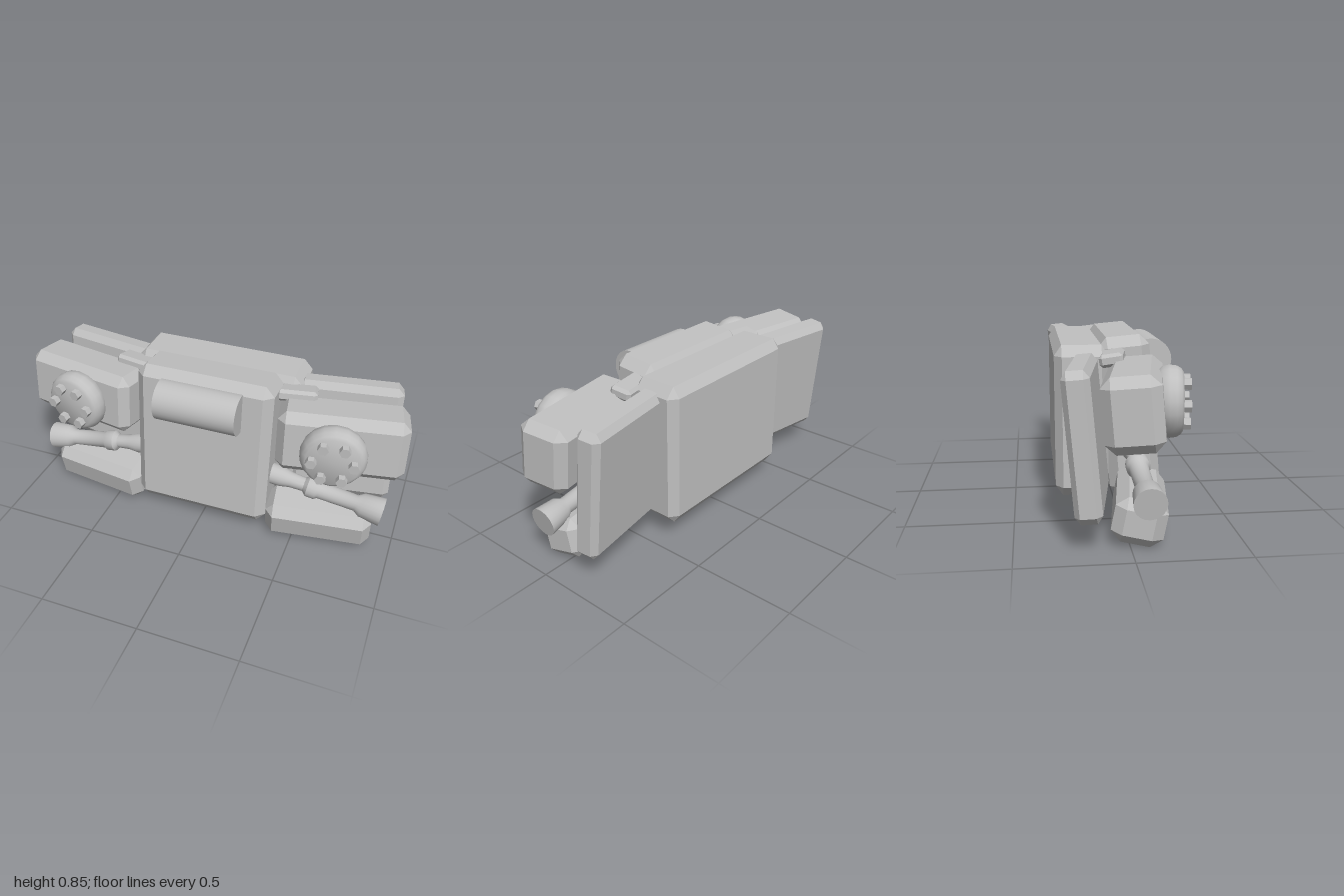
import * as THREE from 'three';
import { toCreasedNormals } from 'three/addons/utils/BufferGeometryUtils.js';
import { ConvexGeometry } from 'three/addons/geometries/ConvexGeometry.js';

const grey = new THREE.MeshStandardMaterial({ color: 0xc0c0c0 });
grey.name = 'plain grey';

// Box with bevelled edges; cx, cy, cz are the bevel widths on each axis
function bevelBox(w, h, d, cx, cy, cz) {
  const pts = [];
  for (const sx of [-1, 1]) for (const sy of [-1, 1]) for (const sz of [-1, 1]) {
    const x = w / 2, y = h / 2, z = d / 2;
    pts.push(
      new THREE.Vector3(sx * x, sy * (y - cy), sz * (z - cz)),
      new THREE.Vector3(sx * (x - cx), sy * y, sz * (z - cz)),
      new THREE.Vector3(sx * (x - cx), sy * (y - cy), sz * z));
  }
  return new ConvexGeometry(pts);
}

function lathe(profile, segments) {
  const g = new THREE.LatheGeometry(profile.map(p => new THREE.Vector2(...p)), segments);
  return toCreasedNormals(g, 0.7);
}

function add(parent, name, geometry, x, y, z, pitch = 0, yaw = 0, roll = 0) {
  const m = new THREE.Mesh(geometry, grey);
  m.name = name;
  m.position.set(x, y, z);
  m.rotation.set(pitch, yaw, roll, 'YXZ');
  parent.add(m);
  return m;
}

export function createModel() {
  const model = new THREE.Group();
  model.name = 'beltPack';

  // Central body
  add(model, 'frontPlate', bevelBox(0.71, 0.79, 0.25, 0.045, 0.05, 0.045), 0, 0.46, 0.065, -0.087);
  add(model, 'backPlate', bevelBox(0.89, 0.725, 0.255, 0.045, 0.05, 0.035), 0, 0.462, -0.173);
  const roller = new THREE.CylinderGeometry(0.103, 0.103, 0.42, 32);
  add(model, 'frontRoller', roller, 0, 0.722, 0.185, 0, 0, Math.PI / 2);

  // Shared shapes of the two sides
  const wing = bevelBox(0.52, 0.65, 0.12, 0.03, 0.035, 0.025);
  const pod = bevelBox(0.62, 0.32, 0.25, 0.04, 0.045, 0.045);
  const lowerBlock = bevelBox(0.54, 0.205, 0.23, 0.04, 0.045, 0.05);
  const link = bevelBox(0.22, 0.06, 0.11, 0.015, 0.015, 0.015);
  const rim = lathe([[0.13, 0], [0.155, 0.025], [0.161, 0.055], [0.157, 0.085], [0.145, 0.105], [0.13, 0.115], [0, 0.115]], 18);
  const bolt = new THREE.CylinderGeometry(0.027, 0.027, 0.05, 6, 1, false, Math.PI / 6).toNonIndexed();
  bolt.computeVertexNormals();
  const arm = lathe([[0, 0], [0.073, 0], [0.062, 0.105], [0.042, 0.135], [0.045, 0.33], [0.056, 0.345],
    [0.056, 0.39], [0.036, 0.41], [0.04, 0.48], [0.052, 0.53], [0.055, 0.6], [0, 0.6]], 20);

  for (const s of [1, -1]) {
    const side = new THREE.Group();
    side.name = s > 0 ? 'leftSide' : 'rightSide';
    model.add(side);

    add(side, 'backWing', wing, s * 0.665, 0.465, -0.172, -0.09, s * 0.16);
    add(side, 'upperPod', pod, s * 0.68, 0.613, 0.04, -0.087, s * 0.18);
    add(side, 'lowerBlock', lowerBlock, s * 0.615, 0.122, 0.07, 0.19, s * 0.14);
    add(side, 'topLink', link, s * 0.42, 0.768, -0.03, -0.16, s * 0.18);
    add(side, 'armRod', arm, s * 0.932, 0.232, 0.07, 0, 0, s * 1.42);

    // Round dial with a ring of hexagonal bolts
    const dial = new THREE.Group();
    dial.name = 'dial';
    dial.position.set(s * 0.665, 0.61, 0.135);
    dial.rotation.y = s * 0.16;
    side.add(dial);
    add(dial, 'dialDisc', rim, 0, 0, 0, Math.PI / 2);
    for (let i = 0; i < 6; i++) {
      const a = i * Math.PI / 3;
      add(dial, 'bolt', bolt, 0.1 * Math.cos(a), 0.1 * Math.sin(a), 0.122, Math.PI / 2);
    }
  }
  return model;
}
